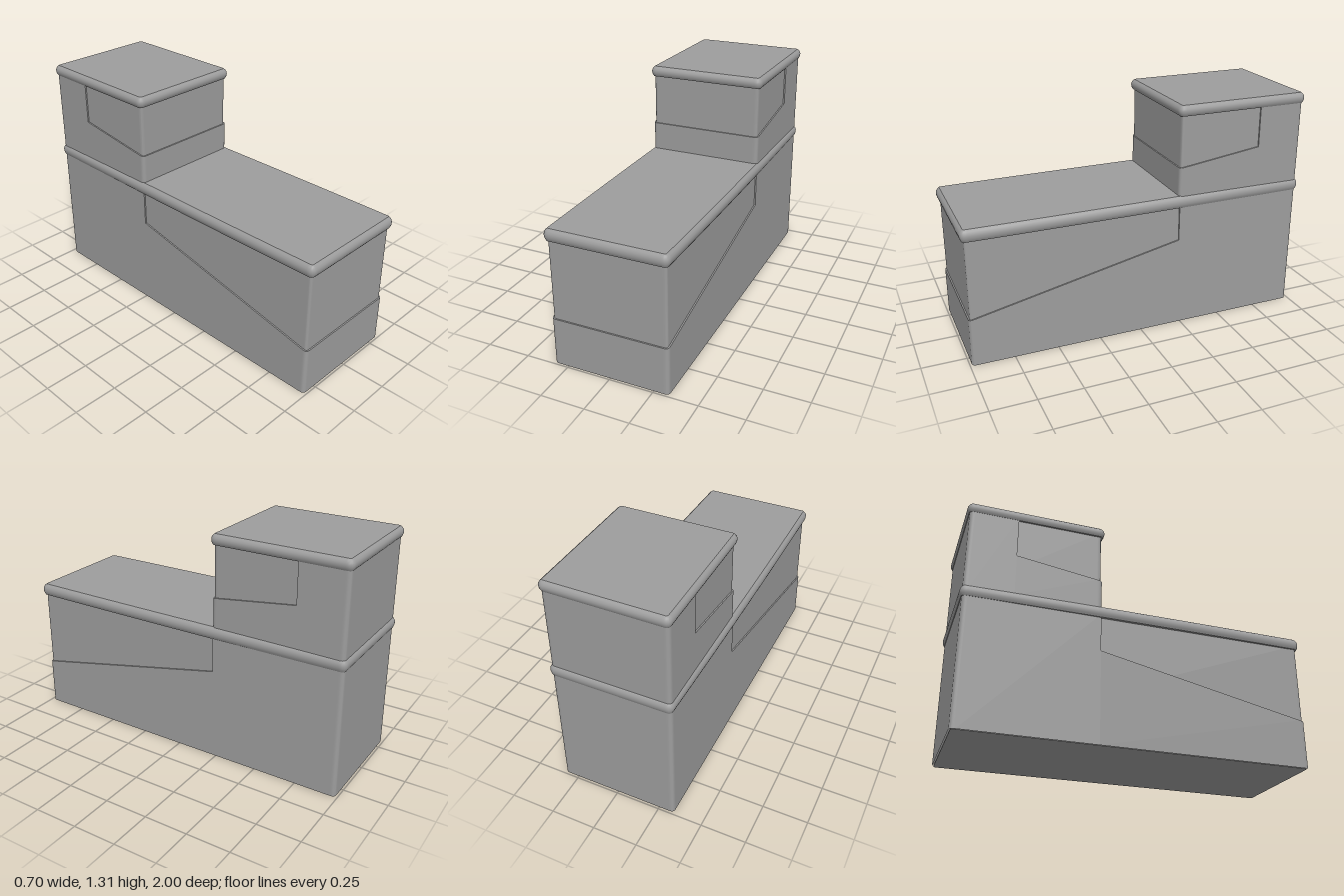
import * as THREE from 'three';
import { toCreasedNormals } from 'three/addons/utils/BufferGeometryUtils.js';

const material = new THREE.MeshStandardMaterial({ color: 0x9d9d9d });

// Rounded rectangle in plan, running left to right along the front, then round the back.
// sides lists extra z positions along both long sides; bulge widens them gently.
function outline(hw, zb, zf, r, sides = [], bulge = 0) {
  const half = [];
  // each corner has a support point just before and after it, to keep the walls flat
  const corner = (cz, from) => {
    const point = (a, run) => half.push([
      hw - r + r * Math.cos(a) + run * Math.sin(a),
      cz + r * Math.sin(a) - run * Math.cos(a)]);
    point(from, -0.01);
    for (let i = 0; i <= 4; i++) point(from - (i / 4) * Math.PI / 2, 0);
    point(from - Math.PI / 2, 0.01);
  };
  corner(zf - r, Math.PI / 2);
  const mid = (zb + zf) / 2, len = (zf - zb) / 2;
  sides.forEach(z => half.push([hw + bulge * (1 - ((z - mid) / len) ** 2), z]));
  corner(zb + r, 0);
  return [...half, ...half.map(([x, z]) => [-x, z]).reverse()];
}

// Skins a stack of closed loops of [x, y, z] points, with optional flat end caps.
function loft(rings, caps = true) {
  const pos = [];
  const tri = (a, b, c) => pos.push(...a, ...b, ...c);
  const n = rings[0].length;
  for (let k = 0; k + 1 < rings.length; k++) {
    for (let i = 0; i < n; i++) {
      const j = (i + 1) % n;
      const [lo, hi] = [rings[k], rings[k + 1]];
      tri(lo[i], lo[j], hi[j]);
      tri(lo[i], hi[j], hi[i]);
    }
  }
  if (caps) {
    const lo = rings[0], hi = rings[rings.length - 1];
    for (let i = 1; i + 1 < n; i++) {
      tri(lo[0], lo[i + 1], lo[i]);
      tri(hi[0], hi[i], hi[i + 1]);
    }
  }
  const g = new THREE.BufferGeometry();
  g.setAttribute('position', new THREE.Float32BufferAttribute(pos, 3));
  return toCreasedNormals(g, 0.6);
}

const atHeight = (loop, y) => loop.map(([x, z]) => [x, y, z]);

function part(name, geometry) {
  const mesh = new THREE.Mesh(geometry, material);
  mesh.name = name;
  return mesh;
}

// Block whose front and front sides are set back above a sloping ledge.
function block(name, { y0, y1, zb, zf, frontY, endY, endZ }) {
  const group = new THREE.Group();
  group.name = name;
  const hw = 0.335, d = 0.008, r = 0.02;
  group.add(part(name + 'Core', loft([y0, y1].map(y =>
    atHeight(outline(hw - d, zb + d, zf - d, r - d), y)))));

  // the doubled side point makes the upright step at the end of the ledge
  const sides = [endZ, endZ];
  const outer = outline(hw, zb, zf, r, sides);
  const inner = outline(hw - d, zb + d, zf - d, r - d, sides);
  const n = outer.length;
  const tops = outer.map(([, z], i) => {
    const k = Math.min(i, n - 1 - i); // same index on either side
    return k > 7 ? y1 : frontY + (endY - frontY) * (zf - z) / (zf - endZ);
  });
  const lift = loop => loop.map(([x, z], i) => [x, tops[i], z]);
  group.add(part(name + 'Skirt', loft([atHeight(outer, y0), lift(outer), lift(inner)], false)));
  return group;
}

// Overhanging slab with a rounded edge, drawn in further at the top than at the bottom.
function slab(name, { y0, y1, zb, zf, hw, bulge }) {
  const rings = [], sides = [];
  for (let i = 1; i < 8; i++) sides.push(zf + (zb - zf) * i / 8);
  for (let i = 0; i <= 6; i++) {
    const a = Math.PI * (0.25 + i / 12);
    const t = (Math.sin(a) - Math.SQRT1_2) / (1 - Math.SQRT1_2);
    const inset = (i < 3 ? 0.01 : 0.02) * (1 - t);
    const y = (y0 + y1) / 2 - (y1 - y0) / 2 * Math.cos(a) / Math.SQRT1_2;
    rings.push(atHeight(outline(hw - inset, zb + inset, zf - inset, 0.03 - inset, sides, bulge), y));
  }
  return part(name, loft(rings));
}

export function createModel() {
  const model = new THREE.Group();
  model.name = 'steppedBlock';
  model.add(
    block('lowerBlock', { y0: 0, y1: 0.75, zb: -0.987, zf: 0.988, frontY: 0.275, endY: 0.53, endZ: -0.23 }),
    slab('lowerSlab', { y0: 0.73, y1: 0.797, zb: -1, zf: 1, hw: 0.346, bulge: 0.006 }),
    block('upperBlock', { y0: 0.78, y1: 1.27, zb: -0.987, zf: -0.225, frontY: 0.96, endY: 1.025, endZ: -0.715 }),
    slab('upperSlab', { y0: 1.253, y1: 1.312, zb: -1, zf: -0.213, hw: 0.346, bulge: 0 }),
  );
  return model;
}
